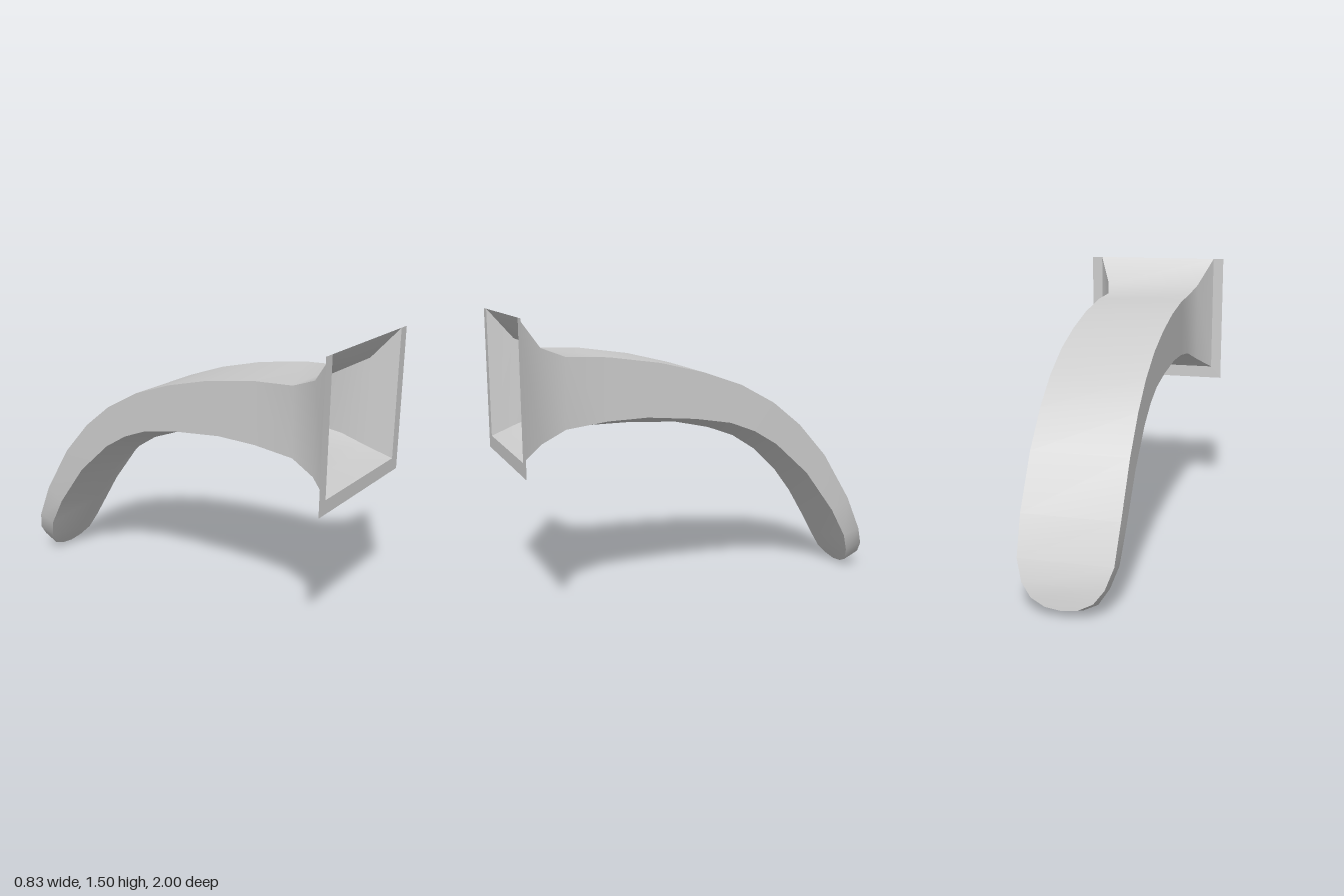
import * as THREE from 'three';
import { toCreasedNormals } from 'three/addons/utils/BufferGeometryUtils.js';

// Cross-sections from the flared mouth to the rounded tip:
// [half width, top z, top y, lower edge z, lower edge y, keel z, keel y]
const SECTIONS = [
  [0.355, 1, 1.5, 1, 0.83, 1, 0.83],
  [0.28, 0.88, 1.35, 0.89, 0.895, 0.89, 0.88],
  [0.247, 0.75, 1.3, 0.76, 0.95, 0.77, 0.915],
  [0.247, 0.54, 1.29, 0.55, 0.975, 0.57, 0.917],
  [0.247, 0.27, 1.25, 0.34, 0.98, 0.35, 0.917],
  [0.247, 0.03, 1.19, 0.08, 0.955, 0.09, 0.9],
  [0.247, -0.18, 1.115, -0.12, 0.92, -0.1, 0.857],
  [0.247, -0.37, 1.01, -0.26, 0.865, -0.25, 0.8],
  [0.247, -0.53, 0.88, -0.39, 0.785, -0.38, 0.715],
  [0.247, -0.69, 0.7, -0.58, 0.61, -0.55, 0.55],
  [0.245, -0.85, 0.44, -0.75, 0.38, -0.69, 0.34],
  [0.235, -0.935, 0.25, -0.84, 0.22, -0.79, 0.18],
  [0.2, -0.975, 0.15, -0.88, 0.12, -0.85, 0.095],
  [0.15, -0.99, 0.085, -0.905, 0.045, -0.895, 0.035],
  [0.08, -0.998, 0.05, -0.918, 0.014, -0.916, 0.012],
  [0, -1, 0.04, -0.922, 0.003, -0.922, 0.003],
];

// Hollow skin: flat top, upright sides and a V-shaped underside
function loftArm() {
  const positions = [];
  const index = [];
  for (const [w, tz, ty, ez, ey, kz, ky] of SECTIONS) {
    positions.push(w, ty, tz, -w, ty, tz, -w, ey, ez, 0, ky, kz, w, ey, ez);
  }
  for (let i = 0; i < SECTIONS.length - 1; i++) {
    for (let j = 0; j < 5; j++) {
      const a = i * 5 + j;
      const b = i * 5 + ((j + 1) % 5);
      index.push(a, a + 5, b, b, a + 5, b + 5);
    }
  }
  const geometry = new THREE.BufferGeometry();
  geometry.setAttribute('position', new THREE.Float32BufferAttribute(positions, 3));
  geometry.setIndex(index);
  return toCreasedNormals(geometry, 0.6);
}

// Thin U-shaped flange around the sides and bottom of the mouth
function flangeGeometry() {
  const outline = [
    [-0.415, 1.5], [-0.415, 0.76], [0.415, 0.76], [0.415, 1.5],
    [0.355, 1.5], [0.355, 0.83], [-0.355, 0.83], [-0.355, 1.5],
  ];
  const shape = new THREE.Shape(outline.map(([x, y]) => new THREE.Vector2(x, y)));
  return new THREE.ShapeGeometry(shape).translate(0, 0, 1);
}

export function createModel() {
  const model = new THREE.Group();
  model.name = 'curvedSpout';
  const material = new THREE.MeshStandardMaterial({ color: 0xcccccc, side: THREE.DoubleSide });
  const add = (name, geometry) => {
    const mesh = new THREE.Mesh(geometry, material);
    mesh.name = name;
    model.add(mesh);
  };
  add('curvedArm', loftArm());
  add('mouthFlange', flangeGeometry());
  return model;
}
